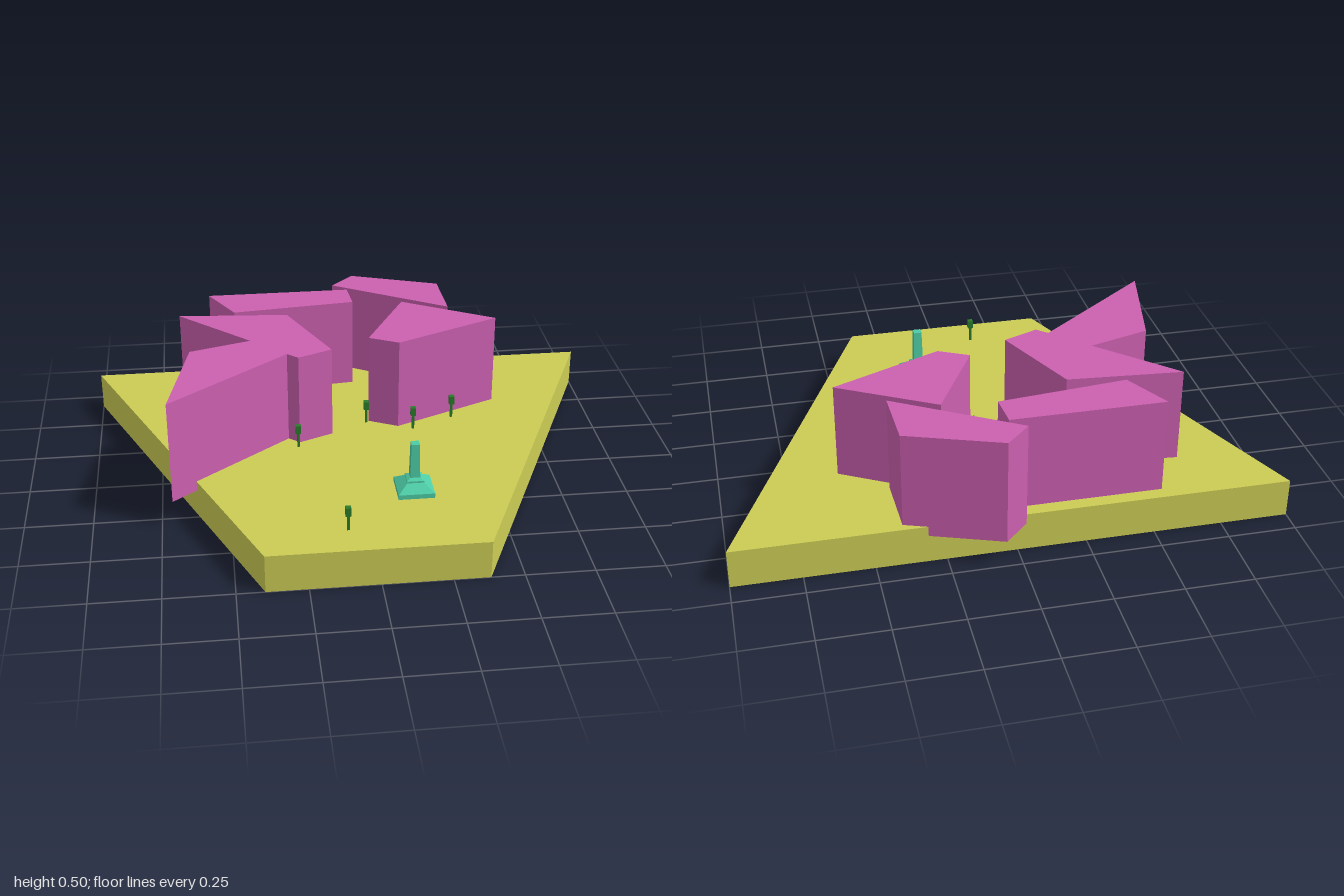
import * as THREE from 'three';

const GROUND = 0.145;
const material = (color) => new THREE.MeshStandardMaterial({ color, flatShading: true });

// Upright prism over a plan of [x, z] corners
function prism(name, plan, bottom, top, mat) {
  const shape = new THREE.Shape(plan.map(([x, z]) => new THREE.Vector2(x, -z)));
  const geometry = new THREE.ExtrudeGeometry(shape, { depth: top - bottom, bevelEnabled: false });
  geometry.rotateX(-Math.PI / 2).translate(0, bottom, 0);
  const mesh = new THREE.Mesh(geometry, mat);
  mesh.name = name;
  return mesh;
}

function box(name, width, bottom, top, mat) {
  const mesh = new THREE.Mesh(new THREE.BoxGeometry(width, top - bottom, width), mat);
  mesh.position.y = (bottom + top) / 2;
  mesh.name = name;
  return mesh;
}

export function createModel() {
  const model = new THREE.Group();
  model.name = 'townSquare';
  const groundMat = material(0xcccc55);
  const wallMat = material(0xcc60b0);
  const stoneMat = material(0x4dcca5);
  const treeMat = material(0x2a7a2a);

  // Trapezoid ground slab
  model.add(prism('groundSlab', [[-1, -0.665], [1, -0.665], [0.38, 0.75], [-0.4, 0.75]], 0, GROUND, groundMat));

  // Building blocks, sunk slightly into the slab
  const buildings = {
    backBuilding: [[-0.535, -0.615], [0.025, -0.615], [0.035, -0.49], [-0.44, -0.44]],
    backLeftBuilding: [[0.06, -0.755], [0.4, -0.635], [0.407, -0.402], [-0.03, -0.665]],
    leftBuilding: [[0.23, -0.47], [0.575, -0.275], [0.17, -0.095], [0.06, -0.15]],
    rightBuilding: [[-0.655, -0.43], [-0.235, -0.395], [-0.09, -0.065], [-0.22, -0.01],
      [-0.26, -0.045], [-0.707, 0.307], [-0.62, -0.105], [-0.39, -0.175]],
  };
  for (const [name, plan] of Object.entries(buildings)) {
    model.add(prism(name, plan, 0.107, 0.505, wallMat));
  }

  // Monument: square stepped base rising into a pillar
  const profile = [[0, 0], [0.066, 0], [0.066, 0.018], [0.031, 0.045], [0.031, 0.052],
    [0.018, 0.06], [0.015, 0.193], [0, 0.193]];
  const monument = new THREE.Mesh(
    new THREE.LatheGeometry(profile.map(([r, y]) => new THREE.Vector2(r * Math.SQRT2, y)), 4).rotateY(Math.PI / 4),
    stoneMat
  );
  monument.name = 'monument';
  monument.position.set(0.163, GROUND, 0.38);
  model.add(monument);

  // Small trees: thin trunk and boxy crown
  for (const [x, z] of [[0.05, -0.143], [0.225, -0.073], [0.388, -0.15], [-0.228, 0.02], [-0.102, 0.617]]) {
    const tree = new THREE.Group();
    tree.name = 'tree';
    tree.add(box('trunk', 0.009, GROUND - 0.005, 0.205, treeMat), box('crown', 0.02, 0.203, 0.236, treeMat));
    tree.position.set(x, 0, z);
    model.add(tree);
  }
  return model;
}
